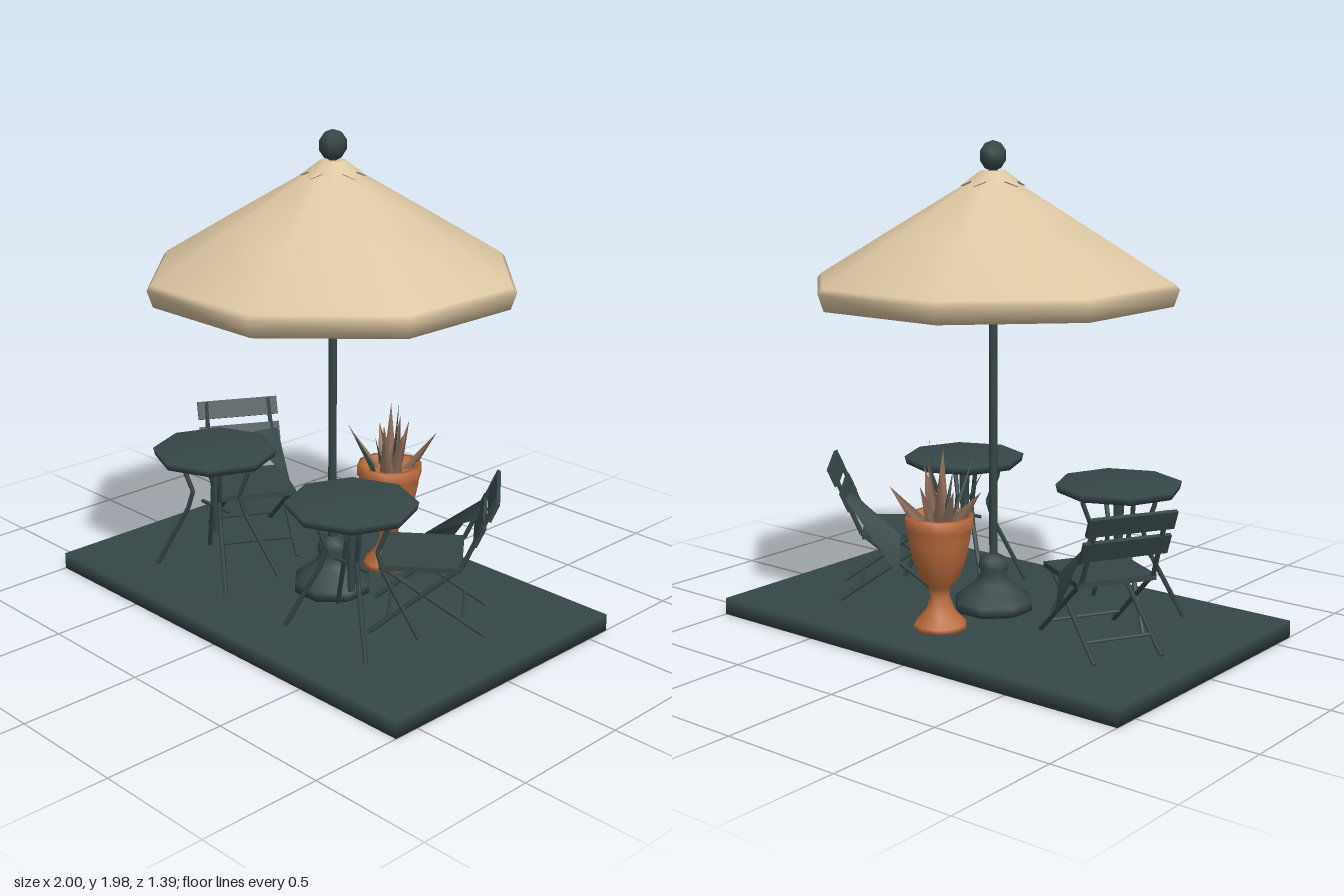
import * as THREE from 'three';
import { mergeVertices } from 'three/addons/utils/BufferGeometryUtils.js';

const material = (name, color, side = THREE.FrontSide) => {
  const m = new THREE.MeshStandardMaterial({ color, side });
  m.name = name;
  return m;
};

// Welds corners so that shading runs smoothly over the edges
function soften(geometry) {
  geometry.deleteAttribute('uv');
  geometry.deleteAttribute('normal');
  const g = mergeVertices(geometry, 1e-4);
  g.computeVertexNormals();
  return g;
}

function lathe(profile, sides, turn = 0) {
  return soften(new THREE.LatheGeometry(profile.map(p => new THREE.Vector2(...p)), sides, turn));
}

export function createModel() {
  const model = new THREE.Group();
  model.name = 'patioSet';
  const iron = material('darkGreenIron', 0x364646, THREE.DoubleSide);
  const canvas = material('tanCanvas', 0xdcc6a2);
  const clay = material('terracotta', 0xba6c3c);
  const dryLeaf = material('brownLeaf', 0x92705a, THREE.DoubleSide);

  const add = (parent, name, geometry, mat, x = 0, y = 0, z = 0) => {
    const mesh = new THREE.Mesh(geometry, mat);
    mesh.name = name;
    mesh.position.set(x, y, z);
    parent.add(mesh);
    return mesh;
  };

  // Straight bar between two points
  const bar = (parent, name, from, to, radius = 0.011) => {
    const a = new THREE.Vector3(...from), b = new THREE.Vector3(...to);
    const d = b.clone().sub(a);
    const mesh = add(parent, name, new THREE.CylinderGeometry(radius, radius, d.length(), 5), iron);
    mesh.position.copy(a).add(b).multiplyScalar(0.5);
    mesh.quaternion.setFromUnitVectors(new THREE.Vector3(0, 1, 0), d.normalize());
    return mesh;
  };
  const bentBar = (parent, name, points, radius) => {
    for (let i = 1; i < points.length; i++) bar(parent, name, points[i - 1], points[i], radius);
  };

  // Floor slab
  add(model, 'floor', soften(new THREE.BoxGeometry(2, 0.07, 1.22)), iron, 0, 0.035, 0);

  // Parasol
  const parasol = new THREE.Group();
  parasol.name = 'parasol';
  parasol.position.x = 0.045;
  model.add(parasol);
  add(parasol, 'foot', lathe([[0, 0.07], [0.165, 0.07], [0.165, 0.11], [0.12, 0.145], [0.075, 0.18],
    [0.055, 0.215], [0.065, 0.245], [0.055, 0.28], [0.02, 0.3]], 8, Math.PI / 8), iron);
  add(parasol, 'pole', new THREE.CylinderGeometry(0.017, 0.017, 1.6, 8), iron, 0, 1.07, 0);
  add(parasol, 'canopy', lathe([[0, 1.342], [0.73, 1.348], [0.753, 1.415], [0.735, 1.435],
    [0.43, 1.62], [0.12, 1.805], [0.045, 1.84], [0, 1.845]], 8, Math.PI / 8), canvas);

  // Star-edged cap
  const cap = new THREE.CylinderGeometry(0.05, 0.13, 0.06, 16, 1);
  const cp = cap.attributes.position;
  for (let i = 0; i < cp.count; i++) {
    const x = cp.getX(i), z = cp.getZ(i);
    if (cp.getY(i) > 0 || Math.hypot(x, z) < 0.01) continue;
    const valley = Math.round(Math.atan2(x, z) / (Math.PI / 8)) & 1;
    if (valley) cp.setXYZ(i, x * 0.76, -0.008, z * 0.76);
  }
  cap.computeVertexNormals();
  add(parasol, 'cap', cap, canvas, 0, 1.832, 0);
  add(parasol, 'finial', new THREE.SphereGeometry(0.058, 6, 5), iron, 0, 1.92, 0).scale.y = 1.05;

  // Round tables with bowed, splayed legs
  for (const x of [-0.41, 0.4]) {
    const table = new THREE.Group();
    table.name = 'table';
    table.position.set(x, 0, 0.24);
    model.add(table);
    add(table, 'tableTop', soften(new THREE.CylinderGeometry(0.258, 0.25, 0.032, 8)), iron, 0, 0.606, 0);
    add(table, 'centrePost', new THREE.CylinderGeometry(0.03, 0.018, 0.34, 6), iron, 0, 0.42, 0).scale.x = 0.7;
    for (const sx of [-1, 1]) for (const sz of [-1, 1]) {
      const path = [[0.13, 0.6], [0.12, 0.53], [0.085, 0.42], [0.105, 0.34], [0.225, 0.07]];
      bentBar(table, 'tableLeg', path.map(([r, y]) => [sx * r, y, sz * r * 0.65]), 0.01);
    }
    bar(table, 'legBrace', [-0.09, 0.36, 0], [0.09, 0.36, 0], 0.008);
  }

  // Folding chairs: local +z is forward, origin under the back of the seat
  const chair = (x, z, fx, fz, side) => {
    const g = new THREE.Group();
    g.name = 'chair';
    g.position.set(x, 0, z);
    g.rotation.y = Math.atan2(fx, fz);
    model.add(g);
    add(g, 'seat', new THREE.BoxGeometry(0.33, 0.022, 0.32), iron, 0, 0.35, 0.16);
    for (const [y, s, h] of [[0.605, -0.115, 0.08], [0.5, -0.065, 0.085]]) {
      add(g, 'backSlat', new THREE.BoxGeometry(0.36, h, 0.016), iron, 0, y, s).rotation.x = -0.42;
    }
    for (const sx of [-1, 1]) {
      bentBar(g, 'backRail', [[sx * 0.14, 0.64, -0.125], [sx * 0.15, 0.36, 0], [sx * 0.16, 0.07, 0.36]], 0.01);
      bar(g, 'rearLeg', [sx * 0.14, 0.34, 0.3], [sx * 0.14, 0.07, -0.1], 0.01);
    }
    bar(g, 'frontRung', [-0.16, 0.13, 0.285], [0.16, 0.13, 0.285], 0.007);
    bar(g, 'rearRung', [-0.14, 0.13, -0.01], [0.14, 0.13, -0.01], 0.007);
    // Thin sloping panel beside the seat
    const panel = new THREE.BufferGeometry();
    panel.setAttribute('position', new THREE.Float32BufferAttribute([
      side * 0.17, 0.52, -0.07, 0, 0.5, -0.05, side * 0.17, 0.36, 0.16, side * 0.19, 0.19, 0.15], 3));
    panel.setIndex([0, 1, 2, 0, 2, 3]);
    panel.computeVertexNormals();
    add(g, 'sidePanel', panel, iron);
  };
  chair(-0.67, -0.14, 0.87, 0.49, 1);
  chair(0.62, -0.16, -0.77, 0.64, -1);

  // Urn with spiky plant
  const planter = new THREE.Group();
  planter.name = 'planter';
  planter.position.set(0.05, 0, -0.33);
  model.add(planter);
  add(planter, 'urn', lathe([[0, 0.07], [0.11, 0.07], [0.105, 0.09], [0.06, 0.14], [0.038, 0.2], [0.045, 0.24],
    [0.08, 0.28], [0.11, 0.36], [0.125, 0.43], [0.13, 0.48], [0.138, 0.485], [0.138, 0.53],
    [0.115, 0.53], [0.11, 0.505], [0, 0.505]], 10), clay);

  // Leaves: tip offset x, tip height, tip offset z
  const tips = [[-0.17, 0.64, 0.05], [-0.14, 0.66, -0.08], [-0.12, 0.71, 0.13], [-0.1, 0.75, -0.11],
    [0.03, 0.74, -0.03], [0.07, 0.83, 0.02], [0.1, 0.76, 0.14], [0.12, 0.66, -0.16],
    [0.01, 0.72, 0.22], [0.12, 0.7, 0.05], [-0.03, 0.68, -0.15], [0.03, 0.69, 0.12]];
  tips.forEach(([x, y, z], i) => {
    const base = new THREE.Vector3(x * 0.35, 0.49, z * 0.35);
    const d = new THREE.Vector3(x, y, z).sub(base);
    const blade = new THREE.ConeGeometry(0.036, d.length(), 4);
    blade.scale(1, 1, 0.25);
    blade.rotateY(i * 1.1);
    const leaf = add(planter, 'leaf', blade, i % 3 === 2 ? iron : dryLeaf);
    leaf.position.copy(base).addScaledVector(d, 0.5);
    leaf.quaternion.setFromUnitVectors(new THREE.Vector3(0, 1, 0), d.normalize());
  });

  return model;
}
